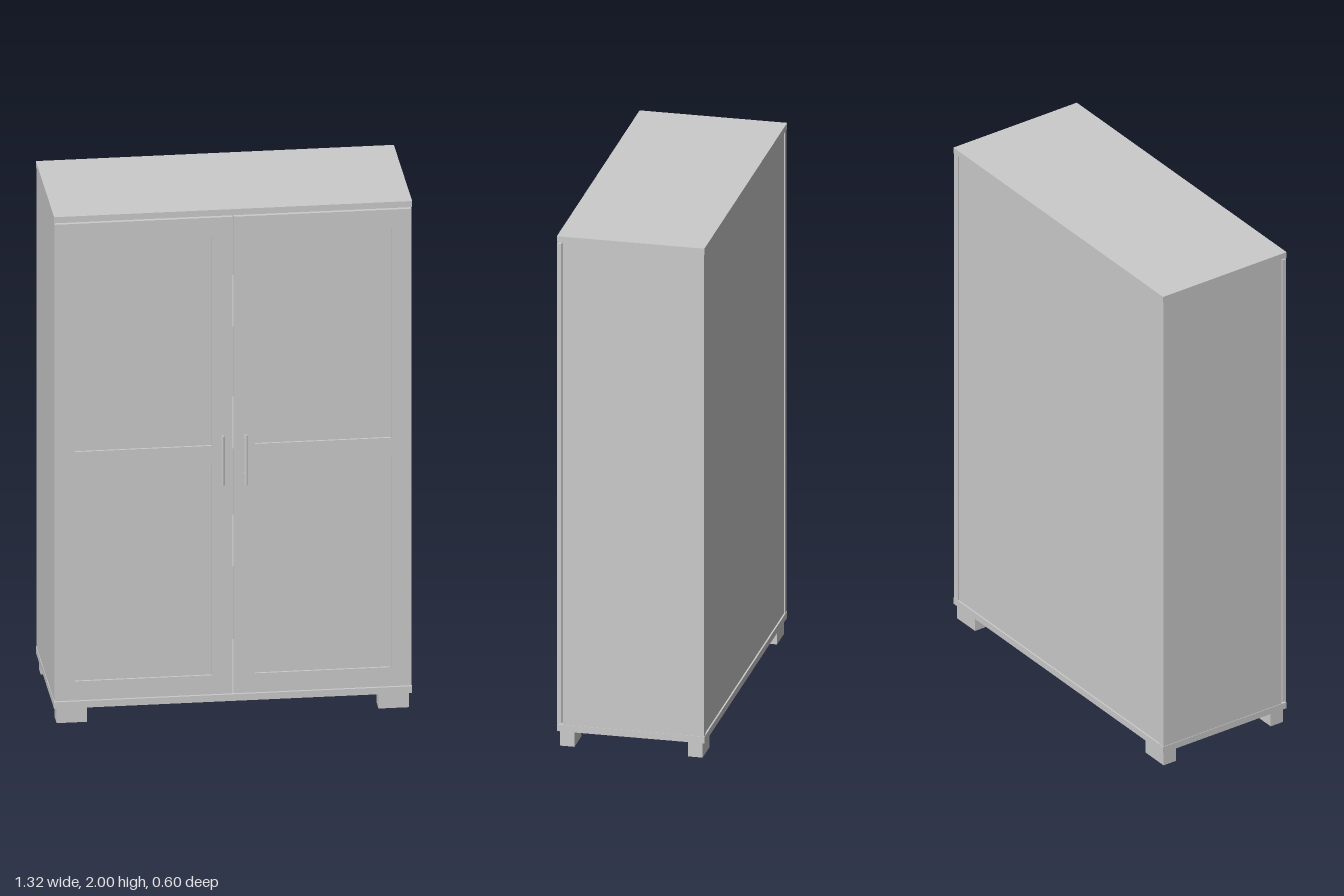
import * as THREE from 'three';

const material = new THREE.MeshStandardMaterial({ color: 0xcccccc });

// Box given by its minimum and maximum on each axis
function box(parent, name, [x0, x1], [y0, y1], [z0, z1]) {
  const mesh = new THREE.Mesh(new THREE.BoxGeometry(x1 - x0, y1 - y0, z1 - z0), material);
  mesh.name = name;
  mesh.position.set((x0 + x1) / 2, (y0 + y1) / 2, (z0 + z1) / 2);
  parent.add(mesh);
}

// Span on the x axis, mirrored to the given side
const span = (side, a, b) => (side > 0 ? [a, b] : [-b, -a]);

function rod(parent, name, radius, length, x, y, z, alongZ) {
  const geometry = new THREE.CylinderGeometry(radius, radius, length, 16);
  if (alongZ) geometry.rotateX(Math.PI / 2);
  const mesh = new THREE.Mesh(geometry, material);
  mesh.name = name;
  mesh.position.set(x, y, z);
  parent.add(mesh);
}

// Framed door with two recessed panels and a bar handle
function createDoor(side) {
  const door = new THREE.Group();
  door.name = side > 0 ? 'leftDoor' : 'rightDoor';
  const depth = [0.238, 0.255];
  box(door, 'innerStile', span(side, 0.003, 0.08), [0.09, 1.97], depth);
  box(door, 'outerStile', span(side, 0.583, 0.658), [0.09, 1.97], depth);
  for (const [name, y0, y1] of [['bottomRail', 0.09, 0.165], ['middleRail', 0.997, 1.07], ['topRail', 1.897, 1.97]]) {
    box(door, name, span(side, 0.08, 0.583), [y0, y1], depth);
  }
  box(door, 'lowerPanel', span(side, 0.08, 0.583), [0.165, 0.997], [0.24, 0.247]);
  box(door, 'upperPanel', span(side, 0.08, 0.583), [1.07, 1.897], [0.24, 0.247]);

  const handle = new THREE.Group();
  handle.name = 'handle';
  rod(handle, 'handleBar', 0.006, 0.195, side * 0.043, 1.025, 0.294, false);
  for (const y of [0.955, 1.095]) rod(handle, 'handlePost', 0.004, 0.042, side * 0.043, y, 0.273, true);
  door.add(handle);
  return door;
}

export function createModel() {
  const cabinet = new THREE.Group();
  cabinet.name = 'cabinet';

  // Carcass
  box(cabinet, 'topBoard', [-0.66, 0.66], [1.976, 2], [-0.3, 0.255]);
  box(cabinet, 'bottomBoard', [-0.66, 0.66], [0.06, 0.086], [-0.3, 0.255]);
  box(cabinet, 'backPanel', [-0.634, 0.634], [0.086, 1.976], [-0.294, -0.284]);
  for (const side of [1, -1]) {
    box(cabinet, 'sidePanel', span(side, 0.634, 0.658), [0.086, 1.976], [-0.298, 0.234]);
  }

  // Shelves behind the doors
  for (const y of [0.565, 1.03, 1.51]) {
    box(cabinet, 'shelf', [-0.634, 0.634], [y - 0.012, y + 0.012], [-0.284, 0.22]);
  }

  // Doors and feet
  for (const side of [1, -1]) {
    cabinet.add(createDoor(side));
    box(cabinet, 'frontFoot', span(side, 0.537, 0.65), [0, 0.06], [0.191, 0.246]);
    box(cabinet, 'backFoot', span(side, 0.537, 0.65), [0, 0.06], [-0.291, -0.236]);
  }
  return cabinet;
}
